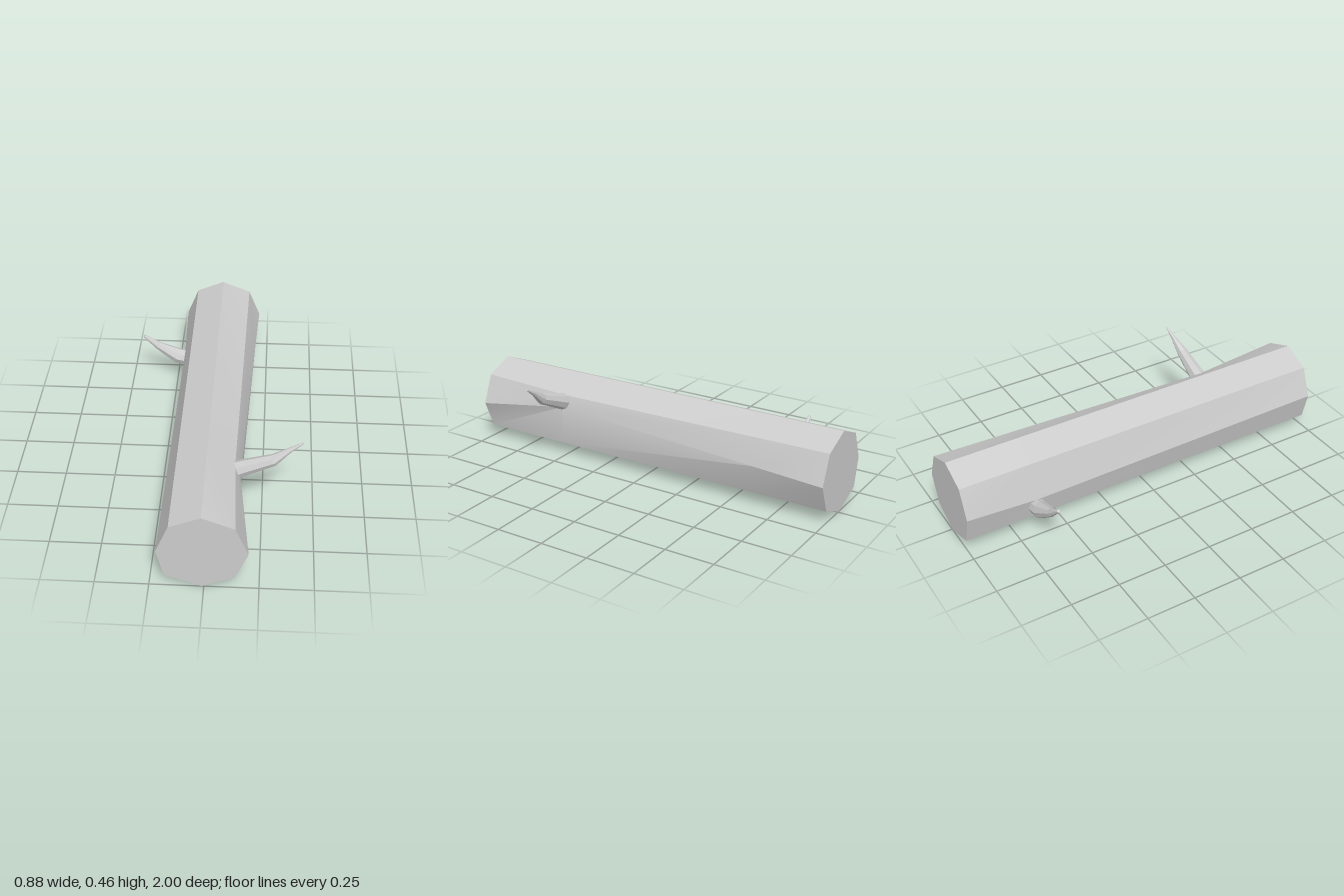
import * as THREE from 'three';
import { toCreasedNormals } from 'three/addons/utils/BufferGeometryUtils.js';

// Skin a list of rings (clockwise when looking along the run) and close both ends.
function loft(rings) {
  const pos = [];
  const tri = (...pts) => pts.forEach((p) => pos.push(p.x, p.y, p.z));
  const n = rings[0].length;
  for (let k = 0; k < rings.length - 1; k++) {
    const a = rings[k], b = rings[k + 1];
    for (let j = 0; j < n; j++) {
      const i = (j + 1) % n;
      tri(a[j], a[i], b[j]);
      tri(a[i], b[i], b[j]);
    }
  }
  const first = rings[0], last = rings[rings.length - 1];
  for (let j = 1; j < n - 1; j++) {
    tri(first[0], first[j + 1], first[j]);
    tri(last[0], last[j], last[j + 1]);
  }
  const geo = new THREE.BufferGeometry();
  geo.setAttribute('position', new THREE.Float32BufferAttribute(pos, 3));
  geo.computeVertexNormals();
  return geo;
}

// Eight-sided trunk; its ridges bend towards the root of each branch.
function trunkGeometry() {
  const octagon = [
    [-0.01, 0.415], [0.14, 0.355], [0.2, 0.207], [0.14, 0.062],
    [-0.01, 0], [-0.18, 0.062], [-0.215, 0.207], [-0.155, 0.355],
  ];
  const bends = {
    1: { z: 0.52, x: 0.12, y: 0.327 },
    2: { z: 0.52, x: 0.143, y: 0.265 },
    6: { z: -0.63, x: -0.206, y: 0.175 },
  };
  const ring = (z) => octagon.map(([x, y], i) => {
    const b = bends[i];
    if (!b) return new THREE.Vector3(x, y, z);
    const t = z > b.z ? (1 - z) / (1 - b.z) : (z + 1) / (b.z + 1);
    return new THREE.Vector3(x + (b.x - x) * t, y + (b.y - y) * t, z);
  });
  return toCreasedNormals(loft([1, 0.52, -0.63, -1].map(ring)), 0.42);
}

// Tapering crooked branch; each stop is [x, y, z, radius].
function branchGeometry(stops, sides = 8) {
  const centres = stops.map(([x, y, z]) => new THREE.Vector3(x, y, z));
  const rings = centres.map((c, k) => {
    const prev = centres[Math.max(k - 1, 0)];
    const next = centres[Math.min(k + 1, centres.length - 1)];
    const t = next.clone().sub(prev).setZ(0).normalize();
    const u = new THREE.Vector3(0, 0, 1);
    const v = t.clone().cross(u);
    return Array.from({ length: sides }, (_, j) => {
      const a = (j / sides) * Math.PI * 2;
      return c.clone()
        .addScaledVector(u, Math.cos(a) * stops[k][3])
        .addScaledVector(v, Math.sin(a) * stops[k][3]);
    });
  });
  return loft(rings);
}

export function createModel() {
  const group = new THREE.Group();
  group.name = 'log';
  const bark = new THREE.MeshStandardMaterial({ color: 0xcccccc });
  const facetedBark = new THREE.MeshStandardMaterial({ color: 0xcccccc, flatShading: true });

  const add = (name, geometry, material) => {
    const mesh = new THREE.Mesh(geometry, material);
    mesh.name = name;
    group.add(mesh);
  };

  add('trunk', trunkGeometry(), bark);
  add('leftBranch', branchGeometry([
    [0.11, 0.285, 0.52, 0.045],
    [0.16, 0.306, 0.52, 0.041],
    [0.302, 0.363, 0.525, 0.029],
    [0.372, 0.415, 0.515, 0.013],
    [0.435, 0.454, 0.507, 0.004],
  ]), facetedBark);
  add('rightBranch', branchGeometry([
    [-0.16, 0.125, -0.635, 0.04],
    [-0.205, 0.135, -0.635, 0.042],
    [-0.25, 0.145, -0.635, 0.043],
    [-0.358, 0.208, -0.636, 0.022],
    [-0.433, 0.269, -0.635, 0.008],
  ]), facetedBark);
  return group;
}
